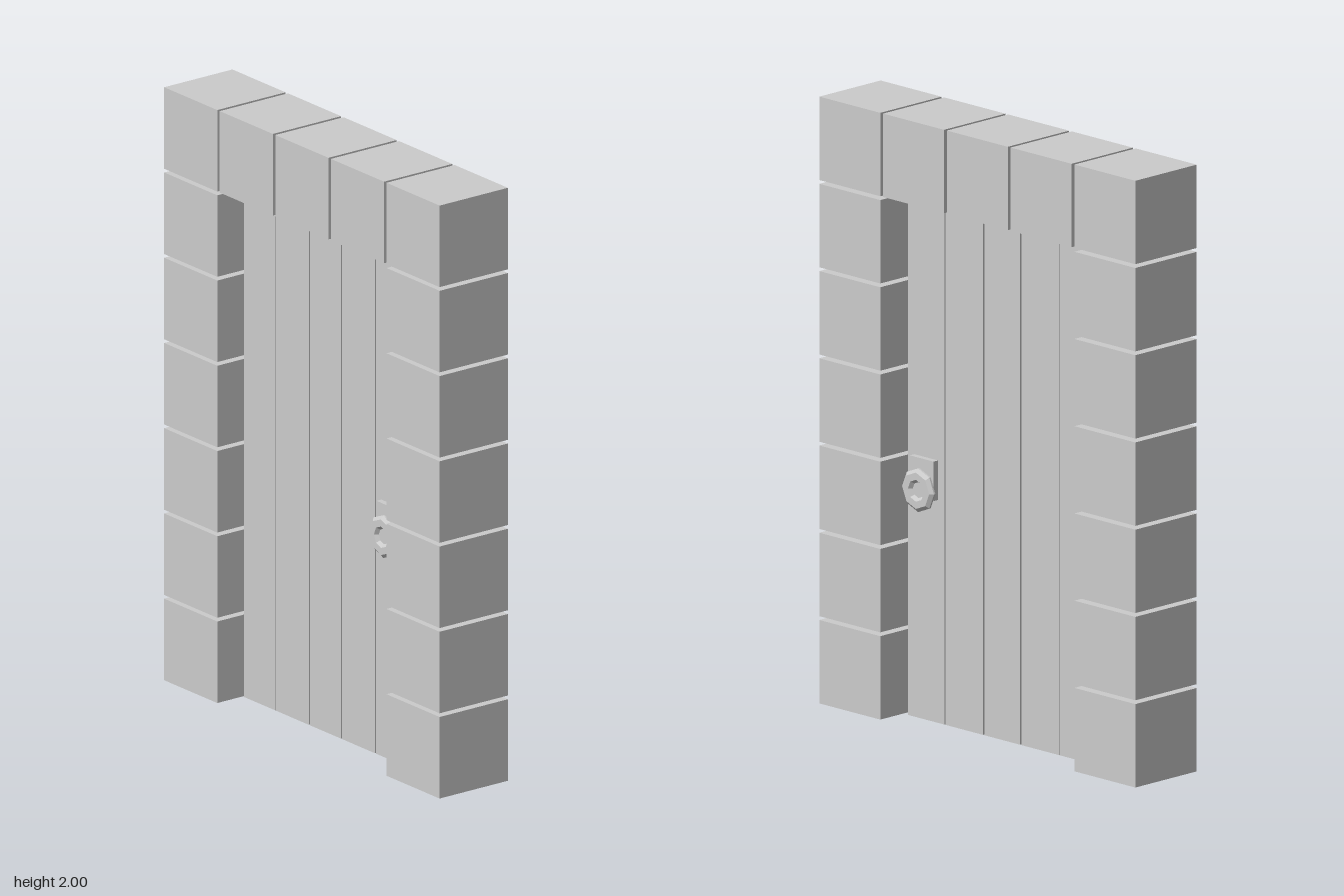
import * as THREE from 'three';

const SIZE = 0.275;    // stone edge
const PITCH = 0.2875;  // stone spacing including joint

const material = new THREE.MeshStandardMaterial({
  color: 0xcccccc, flatShading: true, side: THREE.DoubleSide,
});

function addMesh(parent, name, geometry, x, y, z) {
  const mesh = new THREE.Mesh(geometry, material);
  mesh.name = name;
  mesh.position.set(x, y, z);
  parent.add(mesh);
  return mesh;
}

function addBox(parent, name, [x0, x1], [y0, y1], depth) {
  const geometry = new THREE.BoxGeometry(x1 - x0, y1 - y0, depth);
  return addMesh(parent, name, geometry, (x0 + x1) / 2, (y0 + y1) / 2, 0);
}

// Stone cube without its underside, for the hollow footing stones
function openBottomStone() {
  const geometry = new THREE.BoxGeometry(SIZE, SIZE, SIZE);
  const index = Array.from(geometry.index.array);
  index.splice(18, 6);
  geometry.setIndex(index);
  geometry.clearGroups();
  return geometry;
}

export function createModel() {
  const model = new THREE.Group();
  model.name = 'doorway';

  // Stone frame: two columns and a lintel row
  const frame = new THREE.Group();
  frame.name = 'stoneFrame';
  model.add(frame);
  const stone = new THREE.BoxGeometry(SIZE, SIZE, SIZE);
  const footing = openBottomStone();
  for (const side of [-1, 1]) {
    for (let row = 0; row < 7; row++) {
      addMesh(frame, row === 0 ? 'footingStone' : 'columnStone', row === 0 ? footing : stone,
        side * 2 * PITCH, SIZE / 2 + row * PITCH, 0);
    }
  }
  for (let i = -1; i <= 1; i++) {
    addMesh(frame, 'lintelStone', stone, i * PITCH, 2 - SIZE / 2, 0);
  }

  // Door leaf of five upright planks
  const door = new THREE.Group();
  door.name = 'door';
  model.add(door);
  const planks = [[-0.43, -0.267], [-0.265, -0.096], [-0.09, 0.071], [0.077, 0.246], [0.252, 0.415]];
  for (const span of planks) addBox(door, 'plank', span, [0, 1.72], 0.07);

  // Latch plate through the door, with an octagonal knob on both faces
  addBox(door, 'latchPlate', [0.28, 0.387], [0.735, 0.865], 0.11);
  const profile = [
    [0.045, 0], [0.072, 0.01], [0.072, 0.016], [0.06, 0.026],
    [0.036, 0.026], [0.026, 0.014], [0, 0.014],
  ].map(([r, h]) => new THREE.Vector2(r, h));
  const knob = new THREE.LatheGeometry(profile, 8);
  for (const side of [-1, 1]) {
    const mesh = addMesh(door, side > 0 ? 'frontKnob' : 'backKnob', knob, 0.335, 0.763, side * 0.054);
    mesh.rotation.x = side * Math.PI / 2;
  }
  return model;
}
